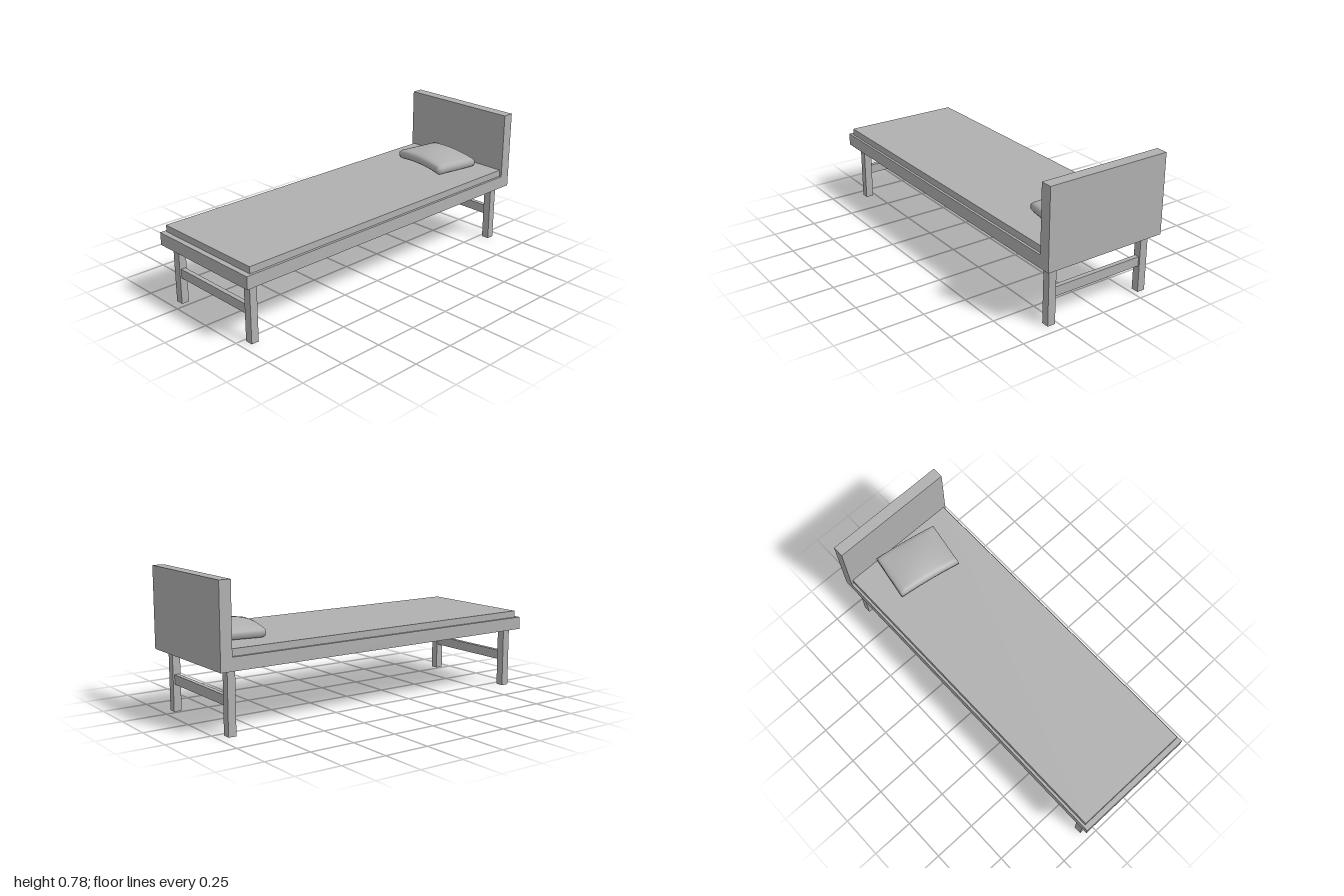
import * as THREE from 'three';
import { mergeVertices } from 'three/addons/utils/BufferGeometryUtils.js';

const grey = new THREE.MeshStandardMaterial({ color: 0xb0b0b0 });
grey.name = 'plain grey';

// Box given by its lower and upper limits on each axis
function block(name, [x0, x1], [y0, y1], [z0, z1]) {
  const mesh = new THREE.Mesh(new THREE.BoxGeometry(x1 - x0, y1 - y0, z1 - z0), grey);
  mesh.position.set((x0 + x1) / 2, (y0 + y1) / 2, (z0 + z1) / 2);
  mesh.name = name;
  return mesh;
}

// Soft cushion: a box arched along its width, domed on top, with softened rims
function createPillow() {
  const w = 0.38, d = 0.274;
  let geo = new THREE.BoxGeometry(w, 2, d, 16, 4, 12);
  const p = geo.attributes.position;
  for (let i = 0; i < p.count; i++) {
    const u = p.getX(i) / (w / 2), s = p.getY(i), v = p.getZ(i) / (d / 2);
    const arch = 0.013 * (1 - u * u);
    const dome = s > 0 ? 0.018 * (1 - u * u) * (1 - v * v) : 0;
    const inset = Math.abs(s) > 0.9 ? 0.01 : 0;
    p.setXYZ(i, u * (w / 2 - inset), arch + s * (0.026 + dome), v * (d / 2 - inset));
  }
  // Weld the faces so the rims shade smoothly
  geo.deleteAttribute('normal');
  geo.deleteAttribute('uv');
  geo = mergeVertices(geo, 1e-5);
  geo.computeVertexNormals();
  const pillow = new THREE.Mesh(geo, grey);
  pillow.name = 'pillow';
  pillow.position.set(-0.002, 0.475, -0.761);
  pillow.rotation.y = -0.165;
  return pillow;
}

export function createModel() {
  const bed = new THREE.Group();
  bed.name = 'bed';

  // Base, mattress and headboard
  bed.add(
    block('bedBase', [-0.36, 0.36], [0.336, 0.407], [-1, 1]),
    block('mattress', [-0.346, 0.346], [0.407, 0.445], [-0.935, 0.97]),
    block('headboard', [-0.36, 0.36], [0.407, 0.785], [-1, -0.935]),
    createPillow()
  );

  // A pair of legs joined by a cross rail at each end
  for (const [end, z] of [['foot', 0.927], ['head', -0.924]]) {
    const frame = new THREE.Group();
    frame.name = end + 'LegFrame';
    const depth = [z - 0.022, z + 0.022];
    frame.add(
      block('rightLeg', [-0.325, -0.279], [0, 0.336], depth),
      block('leftLeg', [0.267, 0.312], [0, 0.336], depth),
      block('crossRail', [-0.279, 0.267], [0.15, 0.203], [z - 0.013, z + 0.013])
    );
    bed.add(frame);
  }
  return bed;
}
